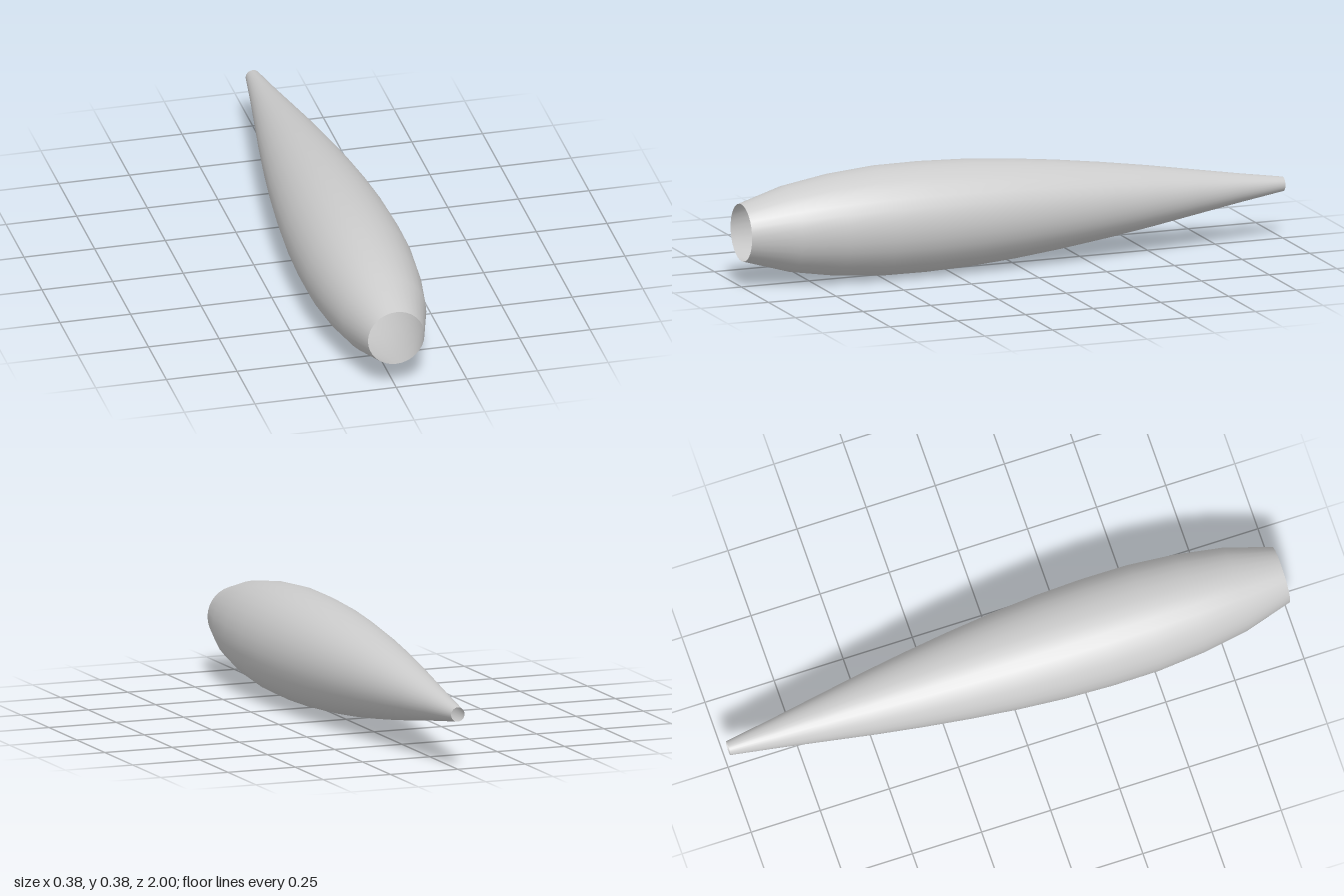
import * as THREE from 'three';

export function createModel() {
  const group = new THREE.Group();

  // Radii at equal steps from the narrow tail (z = -1) to the wide mouth (z = 1)
  const radii = [0.025, 0.051, 0.079, 0.107, 0.132, 0.154, 0.172, 0.185, 0.191, 0.19, 0.176, 0.149, 0.1];
  const profile = radii.map((r, i) => new THREE.Vector2(r, -1 + (2 * i) / (radii.length - 1)));

  // Hollow tapered shell, open at both ends
  const geometry = new THREE.LatheGeometry(profile, 32);
  geometry.rotateX(Math.PI / 2);
  const shell = new THREE.Mesh(
    geometry,
    new THREE.MeshStandardMaterial({ color: 0xcccccc, side: THREE.DoubleSide })
  );
  shell.name = 'taperedShell';
  shell.position.y = Math.max(...radii);
  group.add(shell);

  return group;
}
